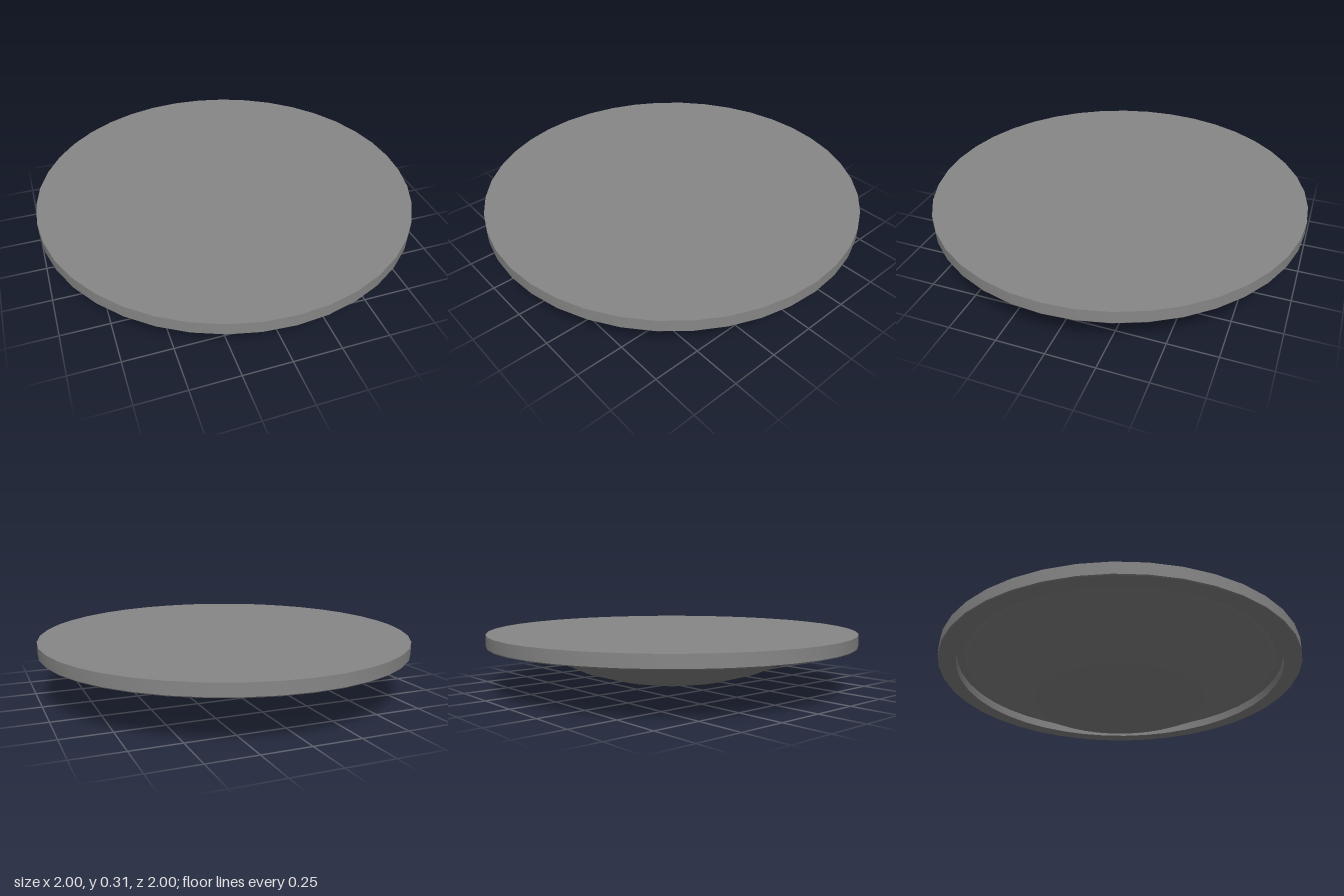
import * as THREE from 'three';
import { toCreasedNormals } from 'three/addons/utils/BufferGeometryUtils.js';

const SIDES = 40;

// Solid of revolution from [radius, height] pairs, listed from the bottom up
function lathe(points) {
  return new THREE.LatheGeometry(points.map(([r, y]) => new THREE.Vector2(r, y)), SIDES);
}

export function createModel() {
  const model = new THREE.Group();
  const material = new THREE.MeshStandardMaterial({ color: 0x878787, side: THREE.DoubleSide });

  function add(name, geometry) {
    const mesh = new THREE.Mesh(geometry, material);
    mesh.name = name;
    model.add(mesh);
  }

  // Flat lid with a downturned rim, slightly chamfered at its lower edge
  add('lid', toCreasedNormals(lathe([
    [0, 0.285], [0.905, 0.285], [0.905, 0.238], [0.996, 0.238],
    [1, 0.243], [1, 0.306], [0, 0.306],
  ]), 0.5));

  // Shallow bowl hanging below the lid, inside the rim
  add('bowl', lathe([
    [0, 0], [0.172, 0.018], [0.345, 0.052], [0.516, 0.102], [0.7, 0.19], [0.87, 0.288],
  ]));

  return model;
}
